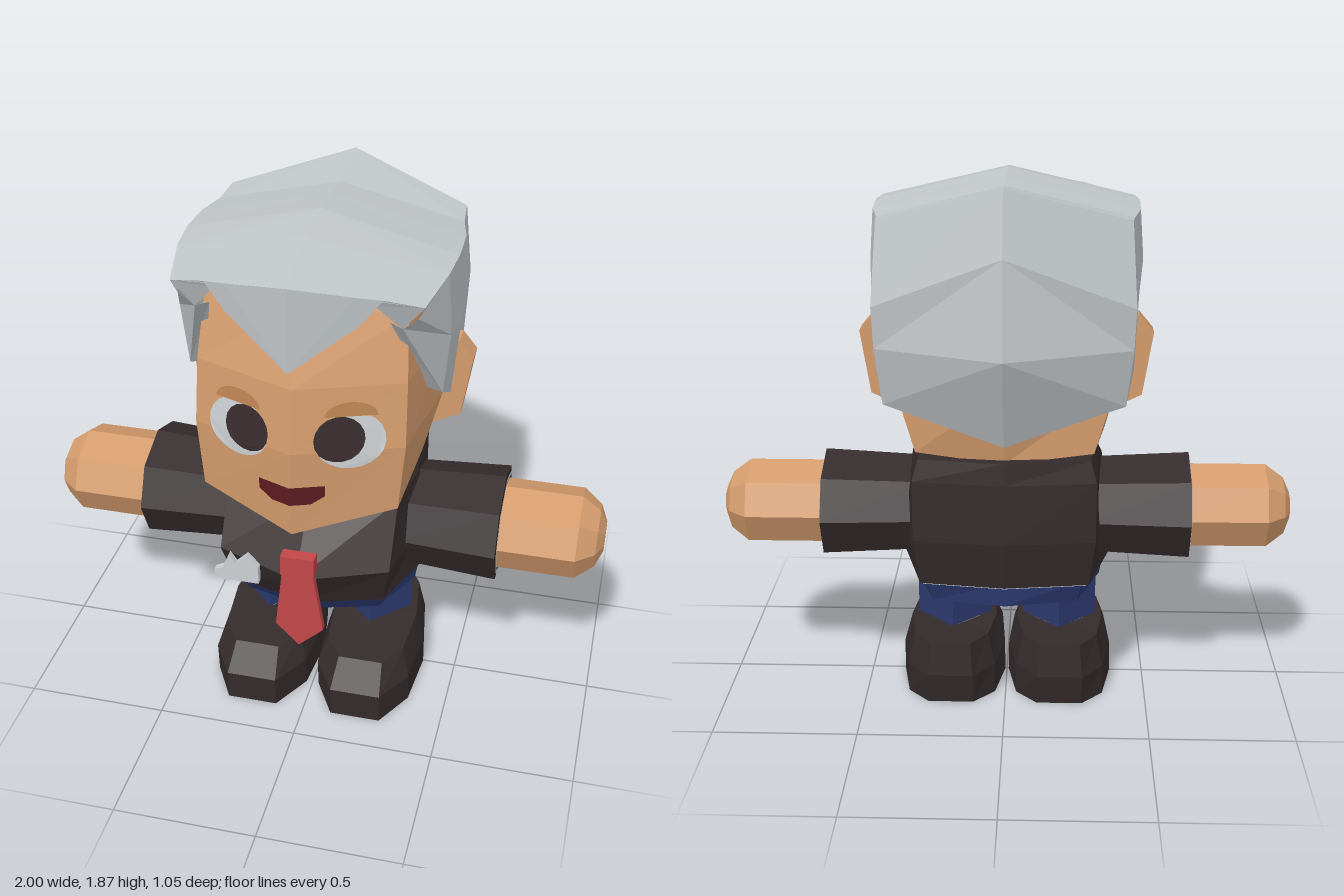
import * as THREE from 'three';

const mat = (name, color, side = THREE.FrontSide) => {
  const m = new THREE.MeshStandardMaterial({ color, flatShading: true, side });
  m.name = name;
  return m;
};

// Strips of quads between rows of points; optionally closed round and capped
function surface(rows, { closed = false, flip = false } = {}) {
  const n = rows[0].length, pos = [];
  const tri = (a, b, c) => pos.push(...a, ...(flip ? c : b), ...(flip ? b : c));
  for (let r = 0; r + 1 < rows.length; r++) {
    for (let i = 0; i < (closed ? n : n - 1); i++) {
      const j = (i + 1) % n, a = rows[r], b = rows[r + 1];
      tri(a[i], a[j], b[j]);
      tri(a[i], b[j], b[i]);
    }
  }
  if (closed) {
    const mid = (row) => [0, 1, 2].map((k) => row.reduce((s, p) => s + p[k], 0) / n);
    const lo = rows[0], hi = rows[rows.length - 1], cl = mid(lo), ch = mid(hi);
    for (let i = 0; i < n; i++) {
      const j = (i + 1) % n;
      tri(cl, lo[j], lo[i]);
      tri(ch, hi[i], hi[j]);
    }
  }
  const g = new THREE.BufferGeometry();
  g.setAttribute('position', new THREE.Float32BufferAttribute(pos, 3));
  g.computeVertexNormals();
  return g;
}

// Half outline from centre front to centre back, completed by its mirror image
const mirrorRing = (half) => [...half, ...half.filter((p) => p[0] > 0).reverse().map(([x, y, z]) => [-x, y, z])];
const level = (y, half) => half.map(([x, z]) => [x, y, z]);
const loft = (halves) => surface(halves.map(mirrorRing), { closed: true });
const poly = (pts, s = 1) => new THREE.Shape(pts.map(([x, y]) => new THREE.Vector2(x * s, y)));
const slab = (pts, z, depth, s = 1) =>
  new THREE.ExtrudeGeometry(poly(pts, s), { depth, bevelEnabled: false }).translate(0, 0, z);

// Depth of the face front at a point
function faceZ(x, y) {
  const t = [[0.88, 0.485], [1.2, 0.5], [1.42, 0.47], [1.68, 0.37]];
  let i = 0;
  while (i < 2 && y > t[i + 1][0]) i++;
  const f = (y - t[i][0]) / (t[i + 1][0] - t[i][0]);
  return t[i][1] + (t[i + 1][1] - t[i][1]) * f - Math.abs(x) * 0.37;
}

// Flat shape laid on the face
function onFace(shape, off) {
  const g = new THREE.ShapeGeometry(shape, 12), p = g.attributes.position;
  for (let i = 0; i < p.count; i++) p.setZ(i, faceZ(p.getX(i), p.getY(i)) + off);
  g.computeVertexNormals();
  return g;
}

function ellipse(cx, cy, rx, ry, a0 = 0, a1 = Math.PI * 2, n = 18) {
  const pts = [];
  for (let i = 0; i <= n; i++) {
    const a = a0 + ((a1 - a0) * i) / n;
    pts.push([cx + rx * Math.cos(a), cy + ry * Math.sin(a)]);
  }
  return pts;
}

// Eight-sided form lying along x
function limb(profile, s) {
  const g = new THREE.LatheGeometry(profile.map(([r, x]) => new THREE.Vector2(r, x)), 8);
  g.rotateZ((-s * Math.PI) / 2);
  return g.scale(1, 1, 1.15).translate(0, 0.682, -0.025);
}

export function createModel() {
  const group = new THREE.Group();
  const skin = mat('skin', 0xd39b6c), lidSkin = mat('eyelid skin', 0xbd8352, THREE.DoubleSide);
  const hair = mat('grey hair', 0xc0c5c8, THREE.DoubleSide);
  const dark = mat('dark cloth', 0x342b2c), blue = mat('blue trousers', 0x2c3a70);
  const white = mat('white', 0xcbd0d3, THREE.DoubleSide), red = mat('red tie', 0xc24748);
  const pupilMat = mat('pupil', 0x392c2e, THREE.DoubleSide), lip = mat('mouth red', 0x5e1b20, THREE.DoubleSide);
  const add = (name, geo, m) => {
    const mesh = new THREE.Mesh(geo, m);
    mesh.name = name;
    group.add(mesh);
    return mesh;
  };

  // Head with a ridge down the middle of the face
  add('head', loft([
    [[0, 0.88, 0.485], [0.33, 0.96, 0.37], [0.345, 0.965, 0], [0.3, 0.96, -0.29], [0, 0.93, -0.32]],
    level(1.2, [[0, 0.5], [0.35, 0.37], [0.405, 0], [0.37, -0.28], [0, -0.38]]),
    level(1.42, [[0, 0.47], [0.345, 0.34], [0.4, 0], [0.36, -0.28], [0, -0.4]]),
    [[0, 1.66, 0.38], [0.33, 1.63, 0.28], [0.37, 1.63, 0], [0.34, 1.63, -0.26], [0, 1.64, -0.36]],
    [[0, 1.74, 0.34], [0.29, 1.7, 0.26], [0.33, 1.7, 0], [0.3, 1.7, -0.22], [0, 1.74, -0.3]],
  ]), skin);

  // Jacket, shirt hem and trousers
  const hem = [[0, 0.35], [0.27, 0.27], [0.37, 0], [0.29, -0.31], [0, -0.35]];
  add('jacket', loft([
    level(0.49, hem),
    level(0.66, [[0, 0.45], [0.3, 0.33], [0.365, 0], [0.31, -0.34], [0, -0.38]]),
    level(0.87, [[0, 0.25], [0.3, 0.2], [0.335, 0], [0.31, -0.335], [0, -0.37]]),
    level(0.945, [[0, 0.04], [0.28, 0.02], [0.31, -0.08], [0.29, -0.32], [0, -0.36]]),
  ]), dark);
  add('shirtHem', loft([0.483, 0.492].map((y) => level(y, hem.map(([x, z]) => [x * 0.97, z * 0.97])))), white);
  add('trouserTop', loft([
    level(0.4, [[0, 0.27], [0.24, 0.2], [0.335, 0], [0.25, -0.25], [0, -0.3]]),
    level(0.49, [[0, 0.335], [0.25, 0.26], [0.35, 0], [0.27, -0.28], [0, -0.31]]),
  ]), blue);

  // Tie and pocket square
  add('tieKnot', slab([[-0.035, 0.725], [0.08, 0.725], [0.08, 0.8], [-0.035, 0.8]], 0.465, 0.045), red);
  add('tieBlade', slab([[-0.055, 0.51], [0.025, 0.43], [0.11, 0.51], [0.075, 0.74], [-0.03, 0.74]], 0.48, 0.025), red);
  add('pocketSquare', slab([[-0.28, 0.635], [-0.125, 0.635], [-0.125, 0.7], [-0.165, 0.745], [-0.205, 0.705],
    [-0.228, 0.74], [-0.25, 0.685], [-0.28, 0.67]], 0.44, 0.025), white);

  // Hair outline by stations from front to back: lower edge, upper edge, crown
  const low = [[0.33, 1.63, 0.38], [0.43, 1.3, 0.17], [0.44, 1.24, 0.06], [0.44, 1.41, -0.07], [0.425, 1.25, -0.28], [0.4, 1.14, -0.33]];
  const top = [[0.4, 1.72, 0.4], [0.44, 1.745, 0.2], [0.45, 1.75, 0.07], [0.445, 1.745, -0.08], [0.42, 1.74, -0.2], [0.41, 1.75, -0.31]];
  const crown = [[0, 1.795, 0.52], [0, 1.84, 0.25], [0, 1.86, 0.07], [0, 1.85, -0.08], [0, 1.84, -0.2], [0, 1.87, -0.43]];
  const mid = low.map((p, i) => [(p[0] + top[i][0]) / 2 + 0.015, (p[1] + top[i][1]) / 2, (p[2] + top[i][2]) / 2]);
  mid[5] = [0.425, 1.48, -0.38];
  const rim = low.map(([x, y, z]) => [x * 0.87, y + 0.01, z * 0.96]);
  const fringe = [[0, 1.5, 0.51], [0.21, 1.66, 0.45], [0.25, 1.725, 0.43], [0.33, 1.63, 0.38]];
  const back = [
    [[0.34, 1.15, -0.27], [0, 1.03, -0.3]],
    [low[5], [0, 1.01, -0.38]],
    [[0.42, 1.34, -0.37], [0, 1.34, -0.53]],
    [mid[5], [0, 1.66, -0.49]],
    [top[5], crown[5]],
  ];

  for (const s of [1, -1]) {
    const side = s > 0 ? 'left' : 'right';
    const half = (rows) => surface(rows.map((r) => r.map(([x, y, z]) => [x * s, y, z])), { flip: s < 0 });
    add(side + 'HairSide', half([rim, low, mid, top, crown]), hair);
    add(side + 'HairBack', half(back), hair);
    add(side + 'Fringe', half([
      fringe.map(([x, y, z]) => [x, y + 0.01, z - 0.08]),
      fringe,
      [[0, 1.795, 0.52], [0.2, 1.76, 0.46], [0.28, 1.748, 0.436], [0.4, 1.72, 0.4]],
    ]), hair);

    // Ear
    add(side + 'Ear', slab([[0.36, 1.39], [0.45, 1.39], [0.5, 1.33], [0.465, 1.11], [0.36, 1.06]], -0.1, 0.08, s), skin);

    // Eye, lid and half of the mouth
    const a = Math.PI * 0.36;
    add(side + 'Eye', onFace(poly(ellipse(0.185, 1.24, 0.107, 0.1, Math.PI - a, Math.PI * 2 + a), s), 0.01), white);
    add(side + 'Pupil', onFace(poly(ellipse(0.152, 1.25, 0.078, 0.08), s), 0.016), pupilMat);
    add(side + 'Eyelid', onFace(poly(ellipse(0.185, 1.33, 0.08, 0.048, 0, Math.PI), s), 0.018), lidSkin);
    add(side + 'Mouth', onFace(poly([[0, 1.01], [0.065, 1.01], [0.11, 1.04], [0.11, 1.08], [0, 1.08]], s), 0.018), lip);

    // Arm
    add(side + 'Sleeve', limb([[0.175, 0.28], [0.195, 0.64], [0, 0.64]], s), dark);
    add(side + 'Cuff', limb([[0.183, 0.643], [0.166, 0.643]], s), white);
    add(side + 'Hand', limb([[0.153, 0.6], [0.153, 0.91], [0.105, 0.975], [0.05, 1], [0, 1]], s), skin);

    // Leg, ankle and shoe
    add(side + 'Leg', new THREE.CylinderGeometry(0.132, 0.132, 0.17, 4).translate(0.19 * s, 0.335, -0.02), blue);
    add(side + 'Ankle', new THREE.CylinderGeometry(0.09, 0.09, 0.1, 4).translate(0.19 * s, 0.22, -0.02), skin);
    add(side + 'Shoe', loft([
      level(0.005, [[0.09, 0.365], [0.17, 0.22], [0.187, 0], [0.155, -0.18], [0.08, -0.26]]),
      level(0.12, [[0.09, 0.37], [0.17, 0.23], [0.185, 0], [0.155, -0.19], [0.08, -0.285]]),
      [[0.08, 0.205, 0.28], [0.14, 0.215, 0.19], [0.155, 0.23, 0], [0.13, 0.235, -0.18], [0.07, 0.24, -0.27]],
    ]), dark).position.x = 0.193 * s;
  }
  return group;
}
